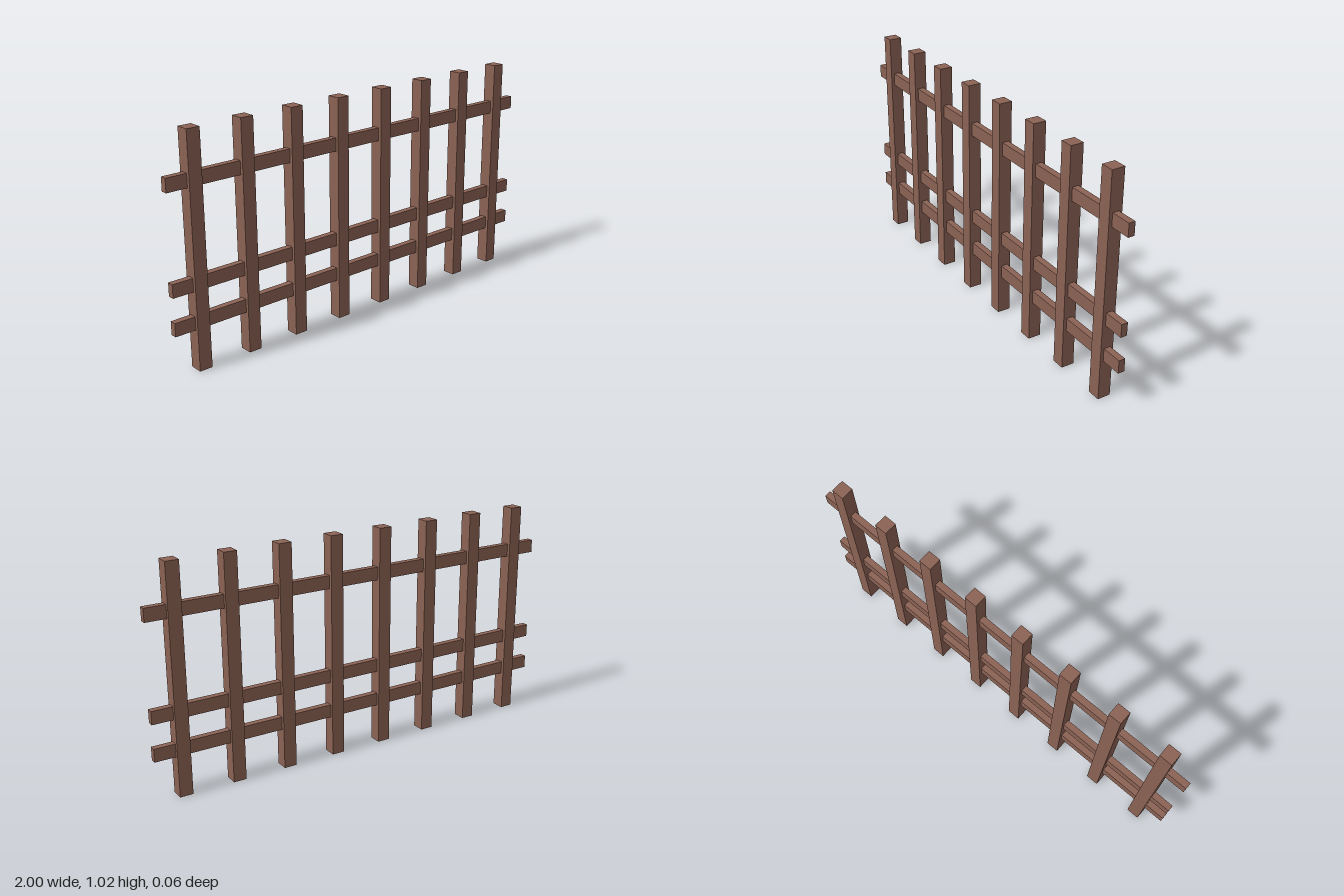
import * as THREE from 'three';

export function createModel() {
  const fence = new THREE.Group();
  fence.name = 'fence';
  const wood = new THREE.MeshStandardMaterial({ color: 0x8b6254 });

  const addBeam = (name, geometry, x, y) => {
    const beam = new THREE.Mesh(geometry, wood);
    beam.name = name;
    beam.position.set(x, y, 0);
    fence.add(beam);
  };

  // Eight square upright posts, evenly spaced
  const postCount = 8, spacing = 0.25, postHeight = 1.025;
  const postGeometry = new THREE.BoxGeometry(0.06, postHeight, 0.06);
  for (let i = 0; i < postCount; i++) {
    addBeam(`post${i + 1}`, postGeometry, (i - (postCount - 1) / 2) * spacing, postHeight / 2);
  }

  // Three thinner rails running through the posts
  const railGeometry = new THREE.BoxGeometry(2, 0.06, 0.03);
  const railHeights = { lowerRail: 0.212, middleRail: 0.38, upperRail: 0.817 };
  for (const [name, y] of Object.entries(railHeights)) addBeam(name, railGeometry, 0, y);

  return fence;
}
